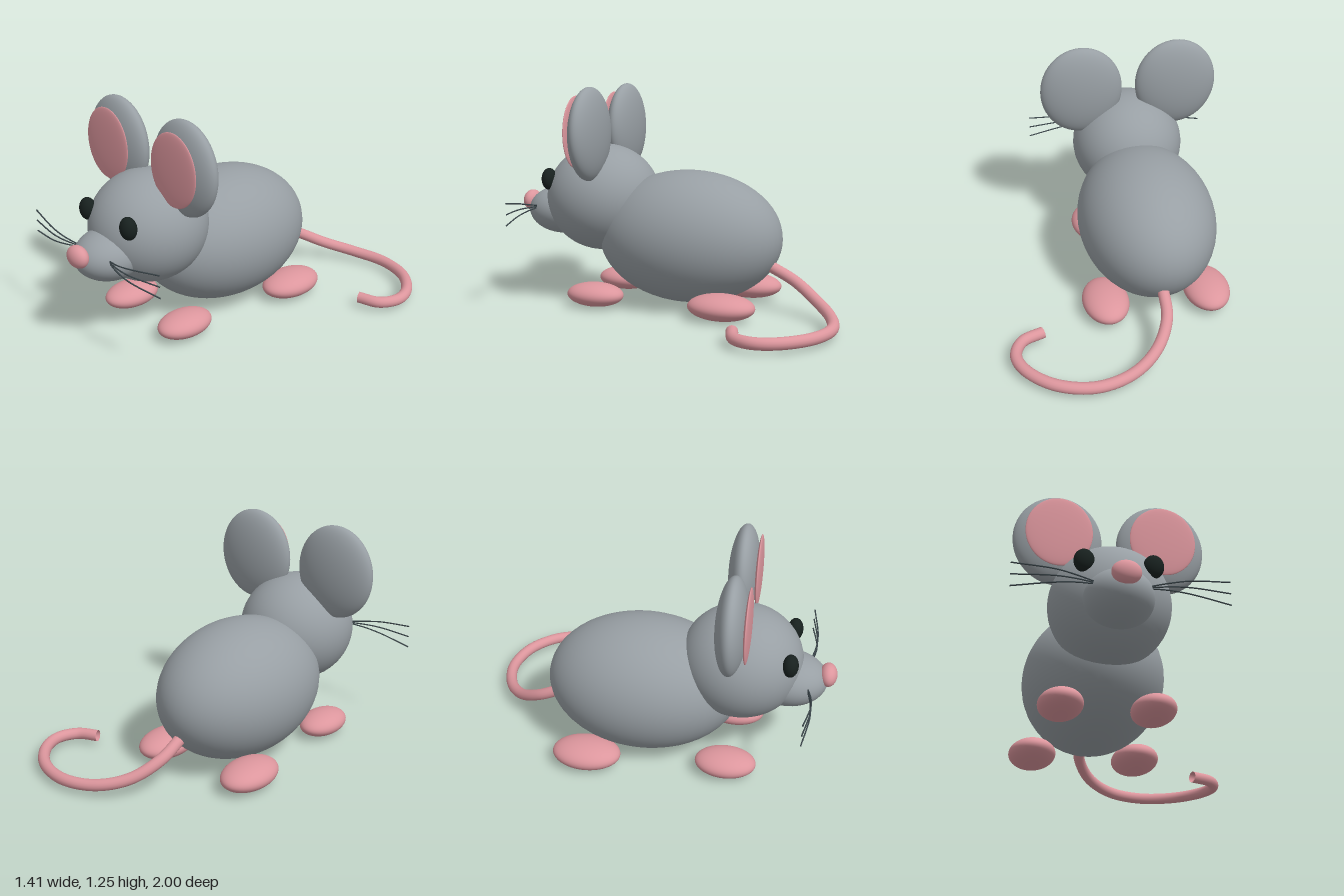
import * as THREE from 'three';

export function createModel() {
  const model = new THREE.Group();
  model.name = 'mouse';
  const mat = (name, color, side = THREE.FrontSide) => {
    const m = new THREE.MeshStandardMaterial({ color, side });
    m.name = name;
    return m;
  };
  const grey = mat('greyFur', 0x989fa4);
  const pink = mat('pinkSkin', 0xdc969d, THREE.DoubleSide);
  const black = mat('eyeBlack', 0x18211f);
  const dark = mat('whiskerGrey', 0x3c474c);

  // The animal sits off centre because the tail curls to its left
  const mouse = new THREE.Group();
  mouse.name = 'mouseParts';
  mouse.position.x = -0.165;
  model.add(mouse);

  const sphere = new THREE.SphereGeometry(1, 48, 32);
  const ellipsoid = (name, material, [x, y, z], [rx, ry, rz]) => {
    const mesh = new THREE.Mesh(sphere, material);
    mesh.name = name;
    mesh.position.set(x, y, z);
    mesh.scale.set(rx, ry, rz);
    mouse.add(mesh);
    return mesh;
  };
  const tube = (name, material, points, radius, segments, sides) => {
    const curve = new THREE.CatmullRomCurve3(points.map((p) => new THREE.Vector3(...p)));
    const mesh = new THREE.Mesh(new THREE.TubeGeometry(curve, segments, radius, sides), material);
    mesh.name = name;
    mouse.add(mesh);
  };

  // Body, head, muzzle and nose
  ellipsoid('body', grey, [0, 0.408, -0.047], [0.385, 0.378, 0.538]);
  ellipsoid('head', grey, [0, 0.61, 0.485], [0.32, 0.31, 0.333]);
  ellipsoid('muzzle', grey, [0, 0.523, 0.74], [0.178, 0.142, 0.213]);
  ellipsoid('nose', pink, [0, 0.567, 0.952], [0.074, 0.061, 0.048]);

  // Paired parts
  for (const [side, s] of [['left', 1], ['right', -1]]) {
    ellipsoid(side + 'Ear', grey, [s * 0.275, 0.998, 0.45], [0.236, 0.262, 0.083]);
    ellipsoid(side + 'InnerEar', pink, [s * 0.275, 1.008, 0.532], [0.177, 0.202, 0.017]);
    ellipsoid(side + 'Eye', black, [s * 0.175, 0.722, 0.753], [0.053, 0.063, 0.042]);
    ellipsoid(side + 'FrontFoot', pink, [s * 0.235, 0.078, 0.443], [0.115, 0.068, 0.168]);
    ellipsoid(side + 'BackFoot', pink, [s * 0.29, 0.079, -0.325], [0.13, 0.073, 0.19]);

    // Three whiskers fanning out from each cheek
    for (const k of [-1, 0, 1]) {
      tube(side + 'Whisker', dark, [
        [s * 0.135, 0.55 + k * 0.006, 0.852],
        [s * 0.23, 0.553 + k * 0.02, 0.872],
        [s * 0.33, 0.556 + k * 0.036, 0.877],
        [s * 0.54, 0.56 + k * 0.063, 0.845],
      ], 0.004, 20, 6);
    }
  }

  // Tail drops to the ground and curls round to the left
  tube('tail', pink, [
    [0.013, 0.27, -0.52], [0.025, 0.195, -0.67], [0.11, 0.115, -0.81],
    [0.26, 0.07, -0.92], [0.46, 0.057, -0.967], [0.66, 0.057, -0.91],
    [0.8, 0.057, -0.77], [0.834, 0.057, -0.65], [0.785, 0.057, -0.545],
    [0.67, 0.061, -0.5],
  ], 0.032, 80, 16);

  return model;
}
